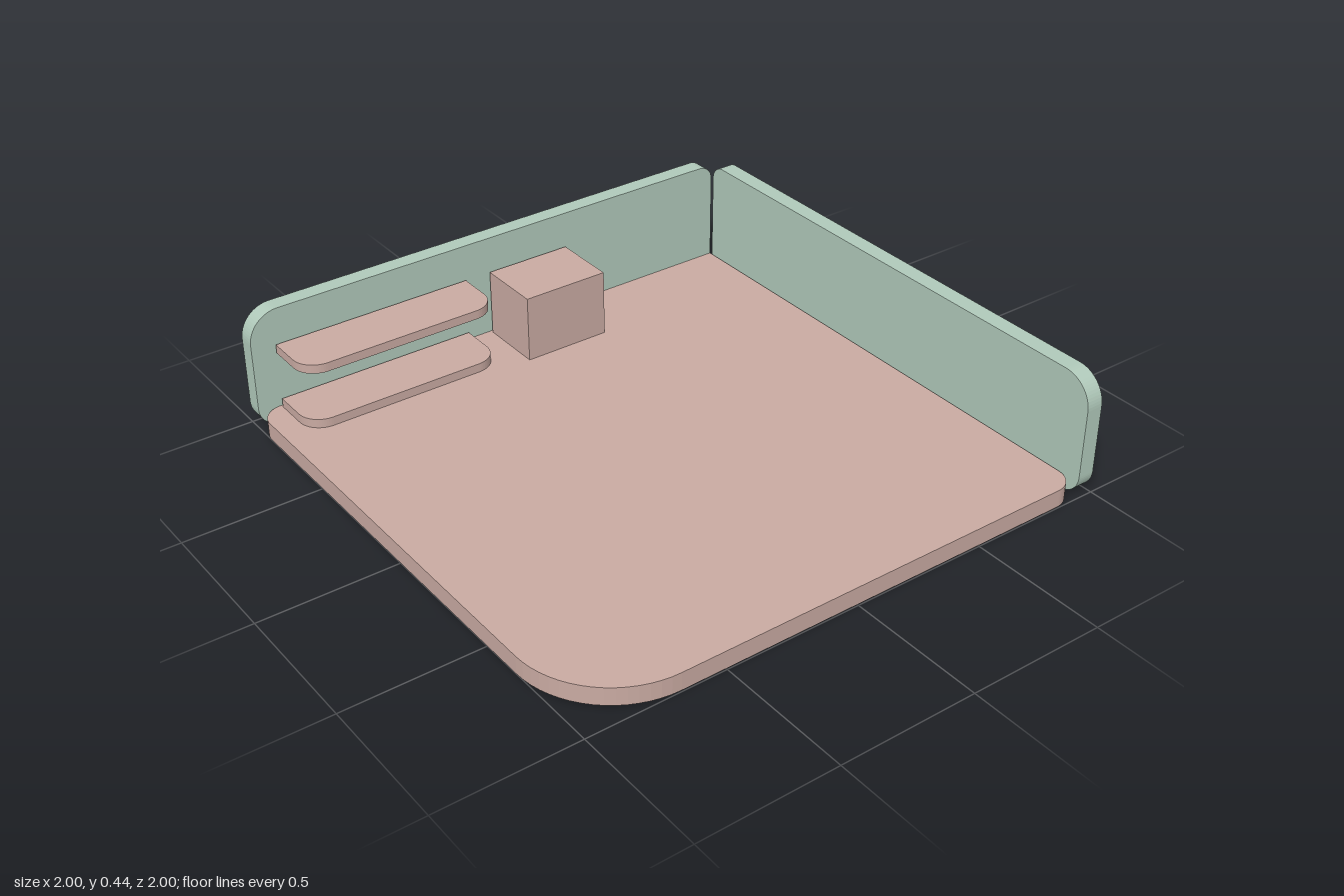
import * as THREE from 'three';

// Rectangle from (x0,y0) to (x1,y1) with its own radius at each corner:
// r = [lower left, lower right, upper right, upper left]
function roundedRect(x0, y0, x1, y1, r) {
  const s = new THREE.Shape();
  const [a, b, c, d] = r;
  const H = Math.PI / 2;
  s.moveTo(x0 + a, y0);
  s.lineTo(x1 - b, y0);
  if (b) s.absarc(x1 - b, y0 + b, b, -H, 0, false);
  s.lineTo(x1, y1 - c);
  if (c) s.absarc(x1 - c, y1 - c, c, 0, H, false);
  s.lineTo(x0 + d, y1);
  if (d) s.absarc(x0 + d, y1 - d, d, H, 2 * H, false);
  s.lineTo(x0, y0 + a);
  if (a) s.absarc(x0 + a, y0 + a, a, 2 * H, 3 * H, false);
  return s;
}

function extrude(shape, depth) {
  return new THREE.ExtrudeGeometry(shape, { depth, bevelEnabled: false, curveSegments: 8 });
}

// Horizontal slab; corner radii run front -x, front +x, back +x, back -x
function slab(x0, x1, zBack, zFront, y0, y1, r) {
  const g = extrude(roundedRect(x0, -zFront, x1, -zBack, r), y1 - y0);
  return g.rotateX(-Math.PI / 2).translate(0, y0, 0);
}

export function createModel() {
  const model = new THREE.Group();
  model.name = 'deskTray';
  const pink = new THREE.MeshStandardMaterial({ color: 0xc9aaa2 });
  pink.name = 'dustyPink';
  const green = new THREE.MeshStandardMaterial({ color: 0xb0c9ba });
  green.name = 'sageGreen';

  const add = (name, geometry, material) => {
    const mesh = new THREE.Mesh(geometry, material);
    mesh.name = name;
    model.add(mesh);
  };

  // Base with one large rounded front corner
  add('base', slab(-1, 0.93, -0.938, 0.995, 0, 0.065, [0.34, 0.08, 0, 0.08]), pink);

  // Two upright walls meeting at the back corner
  const back = extrude(roundedRect(-1, 0, 0.93, 0.44, [0.08, 0, 0.055, 0.11]), 0.062);
  add('backWall', back.translate(0, 0, -1), green);
  const side = extrude(roundedRect(-0.997, 0, 0.935, 0.44, [0.08, 0, 0.055, 0.11]), 0.063);
  add('sideWall', side.rotateY(Math.PI / 2).translate(0.937, 0, 0), green);

  // Pair of shelves with rounded front corners
  for (const [name, y0, y1] of [['lowerShelf', 0.065, 0.098], ['upperShelf', 0.278, 0.311]]) {
    add(name, slab(-0.915, -0.17, -0.927, -0.722, y0, y1, [0.085, 0.085, 0, 0]), pink);
  }

  // Block beside the shelves
  const block = new THREE.BoxGeometry(0.324, 0.246, 0.242);
  add('block', block.translate(0.092, 0.188, -0.806), pink);

  return model;
}
